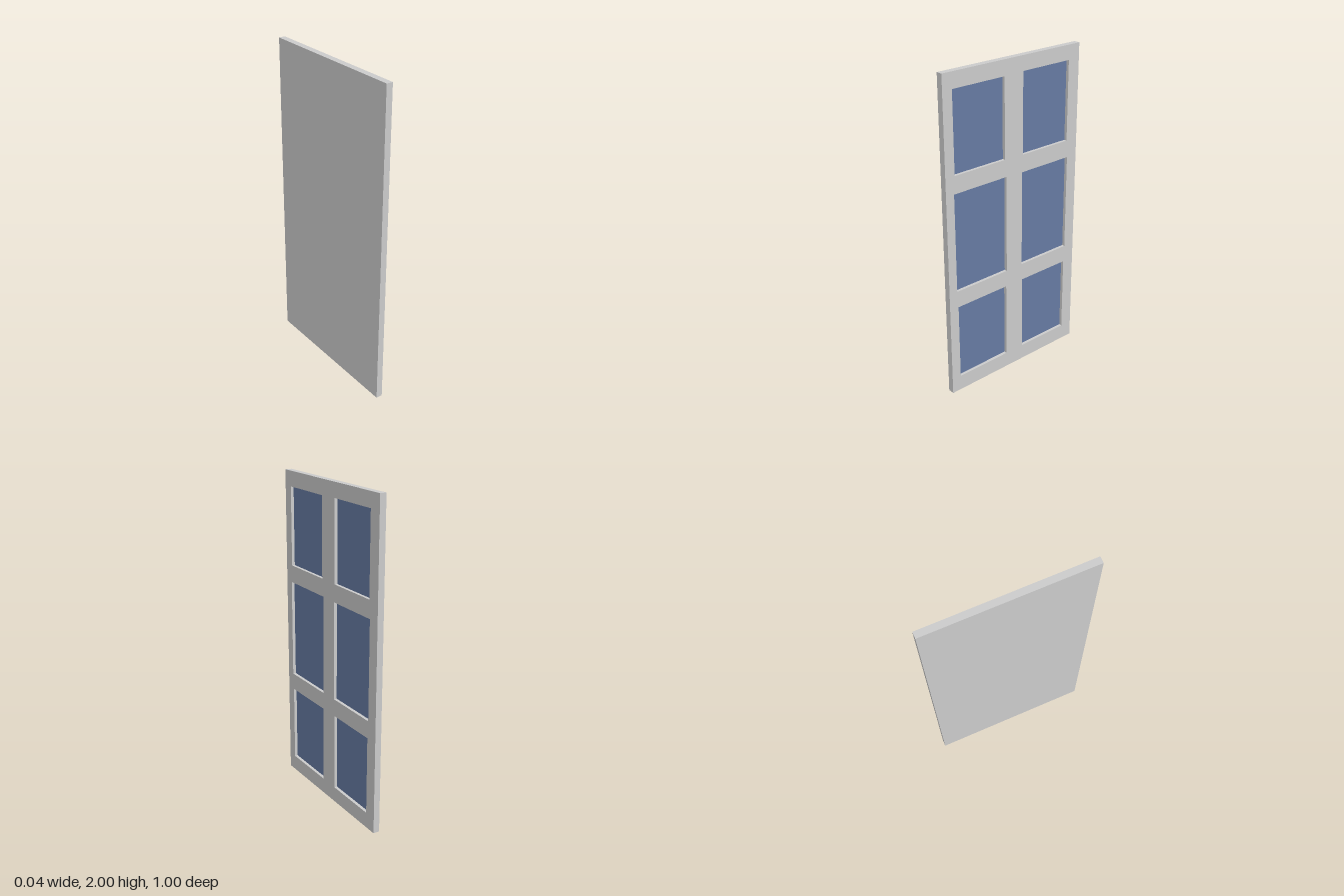
import * as THREE from 'three';

const HEIGHT = 2, WIDTH = 1, HALF_DEPTH = 0.02;

// Pane openings on the +x face: [z min, z max, y min, y max]
const PANES = [
  [0.074, 0.436, 1.418, 1.906], [-0.418, -0.063, 1.415, 1.91],
  [0.063, 0.444, 0.693, 1.31], [-0.426, -0.058, 0.696, 1.306],
  [0.068, 0.438, 0.098, 0.587], [-0.42, -0.063, 0.098, 0.587],
];

// Rectangle outline drawn in the door plane, where u = -z
function outline(path, [z0, z1, y0, y1]) {
  path.moveTo(-z1, y0);
  path.lineTo(-z0, y0);
  path.lineTo(-z0, y1);
  path.lineTo(-z1, y1);
  path.closePath();
  return path;
}

export function createModel() {
  const group = new THREE.Group();
  group.name = 'door';
  const grey = new THREE.MeshStandardMaterial({ color: 0xcccccc });
  const blue = new THREE.MeshStandardMaterial({ color: 0x677ba3 });

  const add = (name, geometry, material) => {
    const mesh = new THREE.Mesh(geometry, material);
    mesh.name = name;
    group.add(mesh);
    return mesh;
  };

  // Solid back half of the door
  add('backPanel', new THREE.BoxGeometry(HALF_DEPTH, HEIGHT, WIDTH), grey)
    .position.set(-HALF_DEPTH / 2, HEIGHT / 2, 0);

  // Front half with six openings, extruded towards +x
  const frame = outline(new THREE.Shape(), [-WIDTH / 2, WIDTH / 2, 0, HEIGHT]);
  frame.holes = PANES.map((pane) => outline(new THREE.Path(), pane));
  add('frame', new THREE.ExtrudeGeometry(frame, { depth: HALF_DEPTH, bevelEnabled: false })
    .rotateY(Math.PI / 2), grey);

  // Recessed panes, just proud of the back panel
  PANES.forEach(([z0, z1, y0, y1], i) => {
    add(`pane${i + 1}`, new THREE.PlaneGeometry(z1 - z0, y1 - y0).rotateY(Math.PI / 2), blue)
      .position.set(0.001, (y0 + y1) / 2, (z0 + z1) / 2);
  });

  return group;
}
